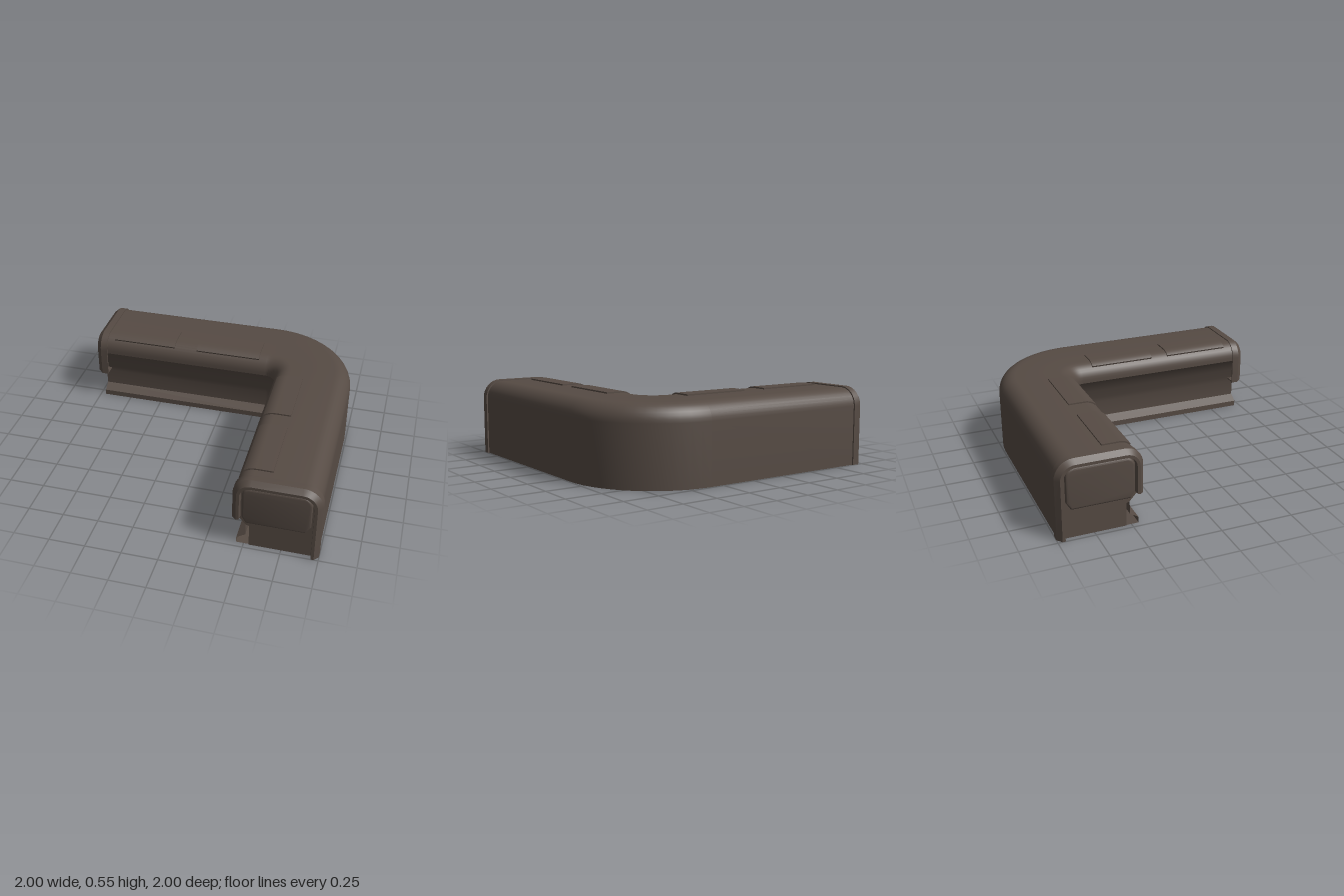
import * as THREE from 'three';
import { toCreasedNormals } from 'three/addons/utils/BufferGeometryUtils.js';

const OUTER = 0.99;   // distance of the outer wall from the centre
const CORNER = 0.34;  // centre of the corner bend
const RADIUS = OUTER - CORNER;

// Points of a quarter arc from angle a to angle b
function arc(cx, cy, r, a, b, n = 8) {
  return Array.from({ length: n + 1 }, (_, i) => {
    const t = a + (b - a) * i / n;
    return [cx + r * Math.cos(t), cy + r * Math.sin(t)];
  });
}

// Join equal-length rings of [x, y, z] points into a skin
function loft(rings) {
  const n = rings[0].length, index = [];
  for (let r = 0; r < rings.length - 1; r++) {
    for (let i = 0; i < n - 1; i++) {
      const a = r * n + i, b = a + 1, c = a + n, d = c + 1;
      index.push(a, b, d, a, d, c);
    }
  }
  const geo = new THREE.BufferGeometry();
  geo.setAttribute('position', new THREE.Float32BufferAttribute(rings.flat(2), 3));
  geo.setIndex(index);
  return toCreasedNormals(geo, 0.6);
}

// Profiles are [u, y], with u measured inwards from the outer wall
const ringAtZ = (profile, z) => profile.map(([u, y]) => [OUTER - u, y, z]);

function shapeOf(profile) {
  return new THREE.Shape(profile.map(([u, y]) => new THREE.Vector2(OUTER - u, y)));
}

// Rounded hood profile: outer wall, top and inner lip, shrunk by o
function hoodProfile(o) {
  return [
    [-0.01 + o, 0],
    ...arc(0.12, 0.418, 0.13 - o, Math.PI, Math.PI / 2),
    ...arc(0.45, 0.428, 0.12 - o, Math.PI / 2, 0),
    [0.57 - o, 0.22 + Math.max(0, o) * 0.3],
  ];
}

export function createModel() {
  const model = new THREE.Group();
  model.name = 'cornerCounter';
  const brown = new THREE.MeshStandardMaterial({ color: 0x564b44, side: THREE.DoubleSide });
  brown.name = 'dark brown';

  function add(parent, name, geo) {
    const mesh = new THREE.Mesh(geo, brown);
    mesh.name = name;
    parent.add(mesh);
    return mesh;
  }

  // Hollow body swept along both arms and round the corner
  const bodyProfile = [
    [0, 0],
    ...arc(0.12, 0.42, 0.12, Math.PI, Math.PI / 2),
    ...arc(0.45, 0.43, 0.11, Math.PI / 2, 0),
    [0.56, 0.405], [0.545, 0.39], [0.515, 0.31], [0.49, 0.24], [0.48, 0.2],
    [0.48, 0.08], [0.54, 0.04], [0.54, 0], [0.455, 0], [0.455, 0.165], [0.48, 0.2],
  ];
  const rings = [bodyProfile.map(([u, y]) => [-0.96, y, u - OUTER])];
  const steps = 14;
  for (let i = 0; i <= steps; i++) {
    const t = (Math.PI / 2) * i / steps;
    rings.push(bodyProfile.map(([u, y]) => [
      CORNER + (RADIUS - u) * Math.sin(t), y, -CORNER - (RADIUS - u) * Math.cos(t),
    ]));
  }
  rings.push(ringAtZ(bodyProfile, 0.96));
  add(model, 'body', loft(rings));

  // Curved top pad section, following the rounded inner edge
  const padProfile = [
    [0.335, 0.53], [0.335, 0.55],
    ...arc(0.45, 0.43, 0.12, Math.PI / 2, 0.87, 6),
    [0.52, 0.5], [0.45, 0.53],
  ];

  function buildArm(name, pads) {
    const arm = new THREE.Group();
    arm.name = name;

    // End hood with a chamfered rim and a recessed inside
    const hoodSteps = [[0.012, 0.915], [0, 0.915], [0, 0.965], [0.03, 1], [0.05, 1], [0.055, 0.965]];
    add(arm, 'endHood', loft(hoodSteps.map(([o, z]) => ringAtZ(hoodProfile(o), z))));

    // Underside of the hood's inner lip
    const lip = add(arm, 'hoodLip', new THREE.BoxGeometry(0.085, 0.01, 0.05));
    lip.position.set(OUTER - 0.5225, 0.227, 0.941);

    // Plate closing the end of the body
    const plate = shapeOf([
      [0.03, 0], [0.03, 0.5], [0.52, 0.5], [0.52, 0.22], [0.475, 0.17], [0.455, 0.165], [0.455, 0],
    ]);
    const plateGeo = new THREE.ExtrudeGeometry(plate, { depth: 0.008, bevelEnabled: false });
    add(arm, 'endPlate', plateGeo.translate(0, 0, 0.958));

    // Raised panel on the end
    const panel = shapeOf([
      [0.085, 0.21], [0.055, 0.26],
      ...arc(0.115, 0.435, 0.06, Math.PI, Math.PI / 2, 6),
      ...arc(0.445, 0.435, 0.06, Math.PI / 2, 0, 6),
      [0.505, 0.26], [0.475, 0.21],
    ]);
    const panelGeo = new THREE.ExtrudeGeometry(panel, {
      depth: 0.015, bevelThickness: 0.012, bevelSize: 0.014, bevelOffset: -0.014, bevelSegments: 3,
    });
    add(arm, 'endPanel', toCreasedNormals(panelGeo.translate(0, 0, 0.97), 0.6));

    // Pads on the top
    for (const [z0, z1] of pads) {
      const geo = new THREE.ExtrudeGeometry(shapeOf(padProfile), { depth: z1 - z0, bevelEnabled: false });
      add(arm, 'topPad', toCreasedNormals(geo.translate(0, 0, z0), 0.6));
    }
    model.add(arm);
    return arm;
  }

  buildArm('frontArm', [[-0.255, 0.23], [0.36, 0.85]]);

  // The other arm is mirrored across the corner's diagonal
  const sideArm = buildArm('sideArm', [[-0.285, 0.2], [0.375, 0.86]]);
  sideArm.scale.x = -1;
  sideArm.rotation.y = -Math.PI / 2;

  return model;
}
